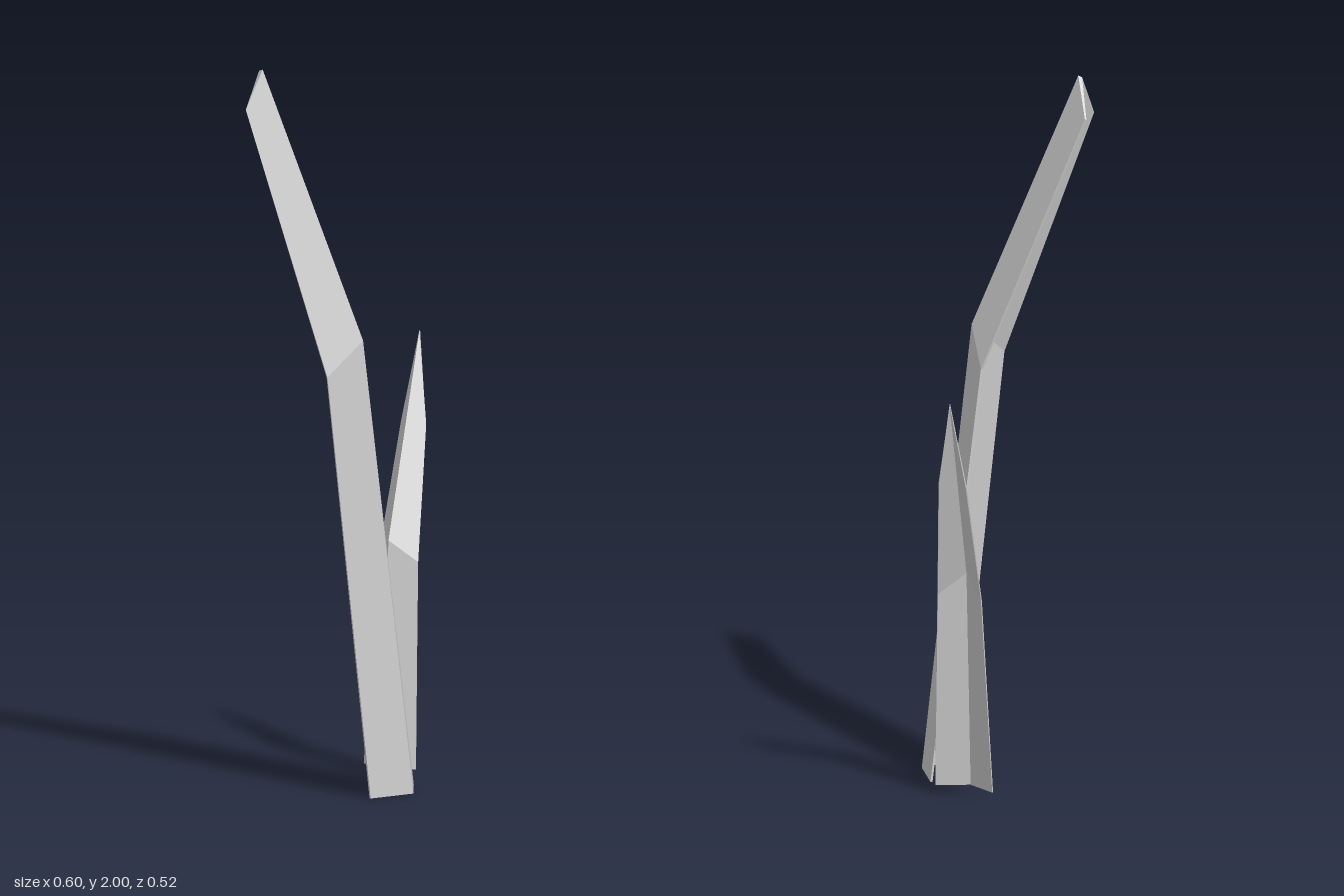
import * as THREE from 'three';

// Builds one ring: the outer V (edge, fold, edge), then the same V set inwards by the thickness.
// The order runs around the blade, and "along" is the blade's direction at this ring.
function makeRing([a, m, b], along, thickness) {
  const na = along.clone().cross(m.clone().sub(a)).normalize();
  const nb = along.clone().cross(b.clone().sub(m)).normalize();
  const nm = na.clone().add(nb).divideScalar(1 + na.dot(nb));
  const inset = (p, n) => p.clone().addScaledVector(n, thickness);
  return [a, m, b, inset(b, nb), inset(m, nm), inset(a, na)];
}

// A folded, pointed blade swept through V-shaped sections from root to tip.
function makeBlade(name, sections, thickness, material) {
  const rows = sections.map(s => s.map(p => new THREE.Vector3(...p)));
  const rings = rows.map((row, i) => {
    // the root is cut level
    const along = i === 0
      ? new THREE.Vector3(0, 1, 0)
      : rows[Math.min(i + 1, rows.length - 1)][1].clone().sub(rows[i - 1][1]);
    return makeRing(row, along, thickness);
  });

  const positions = [], normals = [];
  const quad = (a, b, c, d) => {
    // one flat normal for the whole four-sided face
    const n = c.clone().sub(a).cross(d.clone().sub(b)).normalize();
    for (const p of [a, b, c, a, c, d]) {
      positions.push(p.x, p.y, p.z);
      normals.push(n.x, n.y, n.z);
    }
  };

  // outer faces, inner faces and thin side edges
  for (let i = 0; i < rings.length - 1; i++) {
    for (let j = 0; j < 6; j++) {
      const k = (j + 1) % 6;
      const corners = [rings[i][j], rings[i][k], rings[i + 1][k], rings[i + 1][j]];
      // every face splits from its lower edge to the upper fold, so inside and outside stay parallel
      if (j % 3 === 1) corners.push(corners.shift());
      quad(...corners);
    }
  }
  // root and tip caps
  const root = rings[0], tip = rings[rings.length - 1];
  quad(root[0], root[5], root[4], root[1]);
  quad(root[1], root[4], root[3], root[2]);
  quad(tip[0], tip[1], tip[4], tip[5]);
  quad(tip[1], tip[2], tip[3], tip[4]);

  const geometry = new THREE.BufferGeometry();
  geometry.setAttribute('position', new THREE.Float32BufferAttribute(positions, 3));
  geometry.setAttribute('normal', new THREE.Float32BufferAttribute(normals, 3));
  const mesh = new THREE.Mesh(geometry, material);
  mesh.name = name;
  return mesh;
}

export function createModel() {
  const group = new THREE.Group();
  group.name = 'grassBlades';
  const grey = new THREE.MeshStandardMaterial({ color: 0xcccccc });
  grey.name = 'light grey';

  group.add(makeBlade('tallBlade', [
    [[-0.05, 0, 0.261], [0.088, 0, 0.231], [0.14, 0, 0.101]],
    [[-0.15, 1.17, 0.19], [-0.04, 1.265, 0.178], [-0.002, 1.17, 0.067]],
    [[-0.301, 1.89, -0.04], [-0.252, 2, -0.038], [-0.238, 1.89, -0.095]],
  ], 0.006, grey));

  group.add(makeBlade('shortBlade', [
    [[0.088, 0.023, -0.144], [0.098, 0.023, -0.045], [0.185, 0.023, 0.002]],
    [[0.142, 0.59, -0.173], [0.142, 0.65, -0.095], [0.216, 0.59, -0.06]],
    [[0.241, 0.95, -0.254], [0.298, 1.2, -0.26], [0.288, 0.95, -0.183]],
  ], 0.003, grey));

  return group;
}
